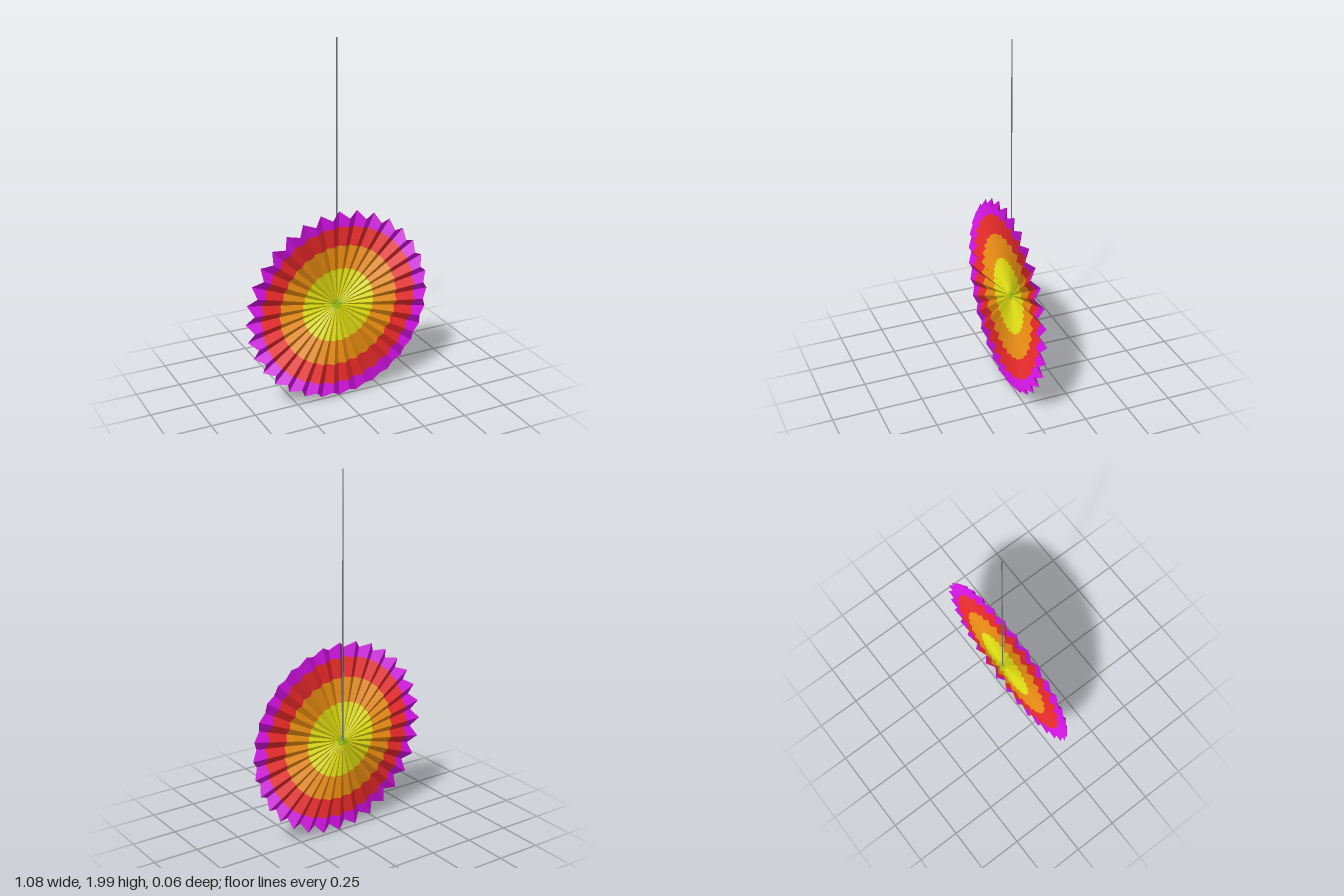
import * as THREE from 'three';

const PLEATS = 32;
const CENTRE_Y = 0.55;
const APEX_Z = -0.026;
const TIP = { r: 0.54, z: 0.0 };      // back folds, ending in the points
const NOTCH = { r: 0.503, z: 0.03 };  // front folds, ending in the notches

function paint(name, color) {
  const m = new THREE.MeshStandardMaterial({ color, side: THREE.DoubleSide, flatShading: true });
  m.name = name;
  return m;
}

// Point on fold line i at radius r; depth grows evenly from the apex
function foldPoint(i, r) {
  const end = i % 2 ? NOTCH : TIP;
  const d = Math.min(r, end.r);
  const a = (i * Math.PI) / PLEATS;
  return [Math.sin(a) * d, Math.cos(a) * d, APEX_Z + ((end.z - APEX_Z) * d) / end.r];
}

// Pleated ring between two radii
function pleatedRing(r0, r1) {
  const pos = [];
  for (let i = 0; i < PLEATS * 2; i++) {
    const a = foldPoint(i, r0), b = foldPoint(i, r1);
    const c = foldPoint(i + 1, r1), d = foldPoint(i + 1, r0);
    pos.push(...a, ...c, ...b);
    if (r0 > 0) pos.push(...a, ...d, ...c);
  }
  const g = new THREE.BufferGeometry();
  g.setAttribute('position', new THREE.Float32BufferAttribute(pos, 3));
  g.computeVertexNormals();
  return g;
}

export function createModel() {
  const model = new THREE.Group();
  model.name = 'hangingPaperFan';

  const fan = new THREE.Group();
  fan.name = 'pleatedFan';
  fan.position.y = CENTRE_Y;
  model.add(fan);

  // Colour bands from the centre outwards
  const bands = [
    ['limeCentre', 0xa4d010, 0, 0.03],
    ['yellowBand', 0xdedb10, 0.03, 0.21],
    ['orangeBand', 0xe68a10, 0.21, 0.345],
    ['redBand', 0xe62828, 0.345, 0.453],
    ['violetBand', 0xd010e0, 0.453, 0.54],
  ];
  for (const [name, color, r0, r1] of bands) {
    const band = new THREE.Mesh(pleatedRing(r0, r1), paint(name.replace(/[A-Z].*/, ''), color));
    band.name = name;
    fan.add(band);
  }

  // Small button over the meeting point of the folds
  const button = new THREE.Mesh(new THREE.CircleGeometry(0.015, 12), fan.children[0].material);
  button.name = 'centreButton';
  button.position.z = APEX_Z + 0.003;
  fan.add(button);

  // Hanging string from the back of the centre
  const length = 2 - CENTRE_Y;
  const string = new THREE.Mesh(new THREE.CylinderGeometry(0.003, 0.003, length, 6), paint('stringGrey', 0x707070));
  string.name = 'hangingString';
  string.position.set(0, CENTRE_Y + length / 2, APEX_Z - 0.001);
  model.add(string);

  return model;
}
